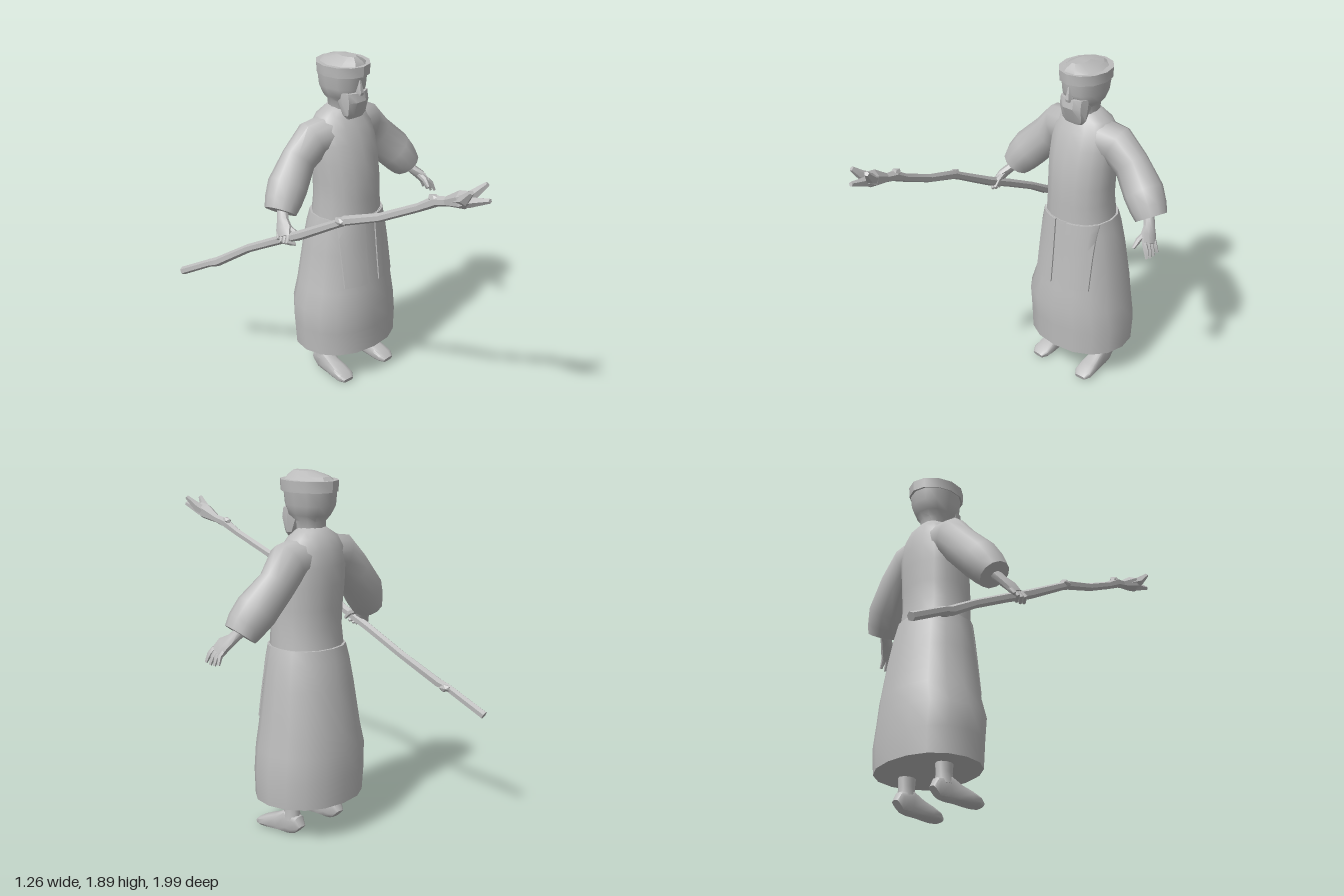
import * as THREE from 'three';
import { toCreasedNormals } from 'three/addons/utils/BufferGeometryUtils.js';

const MID = 0.055; // the figure's own centre line in x
const V = (x, y, z) => new THREE.Vector3(x, y, z);

// Skin a list of closed rings and cap both ends
function skin(rings, crease = 0.8) {
  const n = rings[0].length, pos = [], idx = [];
  rings.forEach(r => r.forEach(p => pos.push(p.x, p.y, p.z)));
  for (let i = 0; i < rings.length - 1; i++) {
    for (let j = 0; j < n; j++) {
      const k = (j + 1) % n, a = i * n + j, b = i * n + k;
      idx.push(a, a + n, b + n, a, b + n, b);
    }
  }
  const cap = (r, start, flip) => {
    const c = r.reduce((s, p) => s.add(p), V(0, 0, 0)).divideScalar(n);
    const ci = pos.length / 3;
    pos.push(c.x, c.y, c.z);
    for (let j = 0; j < n; j++) {
      const a = start + j, b = start + (j + 1) % n;
      idx.push(ci, ...(flip ? [b, a] : [a, b]));
    }
  };
  cap(rings[0], 0, false);
  cap(rings[rings.length - 1], (rings.length - 1) * n, true);
  const g = new THREE.BufferGeometry();
  g.setAttribute('position', new THREE.Float32BufferAttribute(pos, 3));
  g.setIndex(idx);
  return toCreasedNormals(g, crease);
}

const pw = (c, e) => Math.sign(c) * Math.abs(c) ** e;

// Level sections, bottom to top: [y, xMin, xMax, zBack, zFront]
function stack(sections, n = 16, e = 0.92, crease) {
  return skin(sections.map(([y, x0, x1, z0, z1]) => Array.from({ length: n }, (_, j) => {
    const a = j / n * Math.PI * 2;
    return V((x0 + x1) / 2 + (x1 - x0) / 2 * pw(Math.cos(a), e), y,
      (z0 + z1) / 2 + (z1 - z0) / 2 * pw(Math.sin(a), e));
  })), crease);
}

// Sections across a path: [x, y, z, radius along side, other radius]
function limb(path, side, n = 10, e = 1, crease) {
  const pts = path.map(p => V(p[0], p[1], p[2]));
  return skin(path.map((p, i) => {
    const t = pts[Math.min(i + 1, pts.length - 1)].clone().sub(pts[Math.max(i - 1, 0)]).normalize();
    const u = side.clone().addScaledVector(t, -side.dot(t)).normalize();
    const v = u.clone().cross(t);
    return Array.from({ length: n }, (_, j) => {
      const a = (j + 0.5) / n * Math.PI * 2;
      return pts[i].clone().addScaledVector(u, p[3] * pw(Math.cos(a), e))
        .addScaledVector(v, (p[4] ?? p[3]) * pw(Math.sin(a), e));
    });
  }), crease);
}

const SKIRT = [
  [0.19, -0.245, 0.36, -0.6, -0.105],
  [0.33, -0.252, 0.367, -0.607, -0.1],
  [0.46, -0.257, 0.35, -0.6, -0.095],
  [0.57, -0.222, 0.334, -0.59, -0.11],
  [0.8, -0.188, 0.304, -0.555, -0.132],
  [0.93, -0.165, 0.28, -0.532, -0.142],
  [1.0, -0.148, 0.262, -0.515, -0.148],
];

// Front surface of the skirt at a given x and y
function skirtFront(x, y) {
  let i = 0;
  while (i < SKIRT.length - 2 && SKIRT[i + 1][0] < y) i++;
  const f = (y - SKIRT[i][0]) / (SKIRT[i + 1][0] - SKIRT[i][0]);
  const [, x0, x1, z0, z1] = SKIRT[i].map((s, k) => s + (SKIRT[i + 1][k] - s) * f);
  const u = Math.min(1, Math.abs((x - (x0 + x1) / 2) / ((x1 - x0) / 2)));
  return (z0 + z1) / 2 + (z1 - z0) / 2 * (1 - u ** 2.17) ** (1 / 2.17);
}

export function createModel() {
  const model = new THREE.Group();
  const clay = new THREE.MeshStandardMaterial({ color: 0xbcbcbc });
  clay.name = 'grey clay';
  const add = (name, geo) => {
    const m = new THREE.Mesh(geo, clay);
    m.name = name;
    model.add(m);
    return m;
  };

  // Robe
  add('skirt', stack(SKIRT));
  add('torso', stack([
    [0.97, -0.142, 0.255, -0.505, -0.152],
    [1.1, -0.132, 0.245, -0.49, -0.153],
    [1.2, -0.132, 0.246, -0.495, -0.155],
    [1.32, -0.14, 0.25, -0.5, -0.17],
    [1.42, -0.14, 0.25, -0.5, -0.195],
    [1.5, -0.13, 0.24, -0.488, -0.225],
    [1.56, -0.09, 0.2, -0.465, -0.26],
    [1.59, -0.04, 0.15, -0.44, -0.28],
    [1.61, -0.01, 0.12, -0.42, -0.3],
  ]));

  // Two hanging panels that follow the front of the skirt
  for (const [name, x0, x1] of [['rightPanel', -0.12, 0.025], ['leftPanel', 0.1, 0.248]]) {
    const g = new THREE.BoxGeometry(x1 - x0, 0.39, 0.009, 6, 8, 1);
    g.translate((x0 + x1) / 2, 0.805, 0.004);
    const p = g.attributes.position;
    for (let i = 0; i < p.count; i++) p.setZ(i, p.getZ(i) + skirtFront(p.getX(i), p.getY(i)));
    add(name, toCreasedNormals(g, 0.8));
  }

  // Head, beard, nose and cap
  add('head', stack([
    [1.57, -0.015, 0.125, -0.42, -0.28],
    [1.64, -0.02, 0.13, -0.425, -0.27],
    [1.67, -0.045, 0.155, -0.45, -0.225],
    [1.72, -0.06, 0.17, -0.478, -0.207],
    [1.81, -0.072, 0.185, -0.483, -0.2],
  ], 12));
  add('beard', stack([
    [1.553, 0, 0.11, -0.262, -0.232],
    [1.575, -0.02, 0.13, -0.285, -0.22],
    [1.65, -0.028, 0.138, -0.33, -0.19],
    [1.7, -0.028, 0.138, -0.33, -0.2],
  ], 10, 0.8, 0.5));
  add('nose', stack([
    [1.685, 0.035, 0.075, -0.24, -0.188],
    [1.7, 0.033, 0.077, -0.24, -0.183],
    [1.765, 0.047, 0.063, -0.23, -0.198],
  ], 6, 1, 0.4));
  add('capBand', stack([
    [1.788, -0.075, 0.192, -0.495, -0.18],
    [1.845, -0.078, 0.195, -0.497, -0.178],
  ], 12, 1, 0.6));
  add('capCrown', stack([
    [1.835, -0.068, 0.182, -0.485, -0.19],
    [1.862, -0.03, 0.14, -0.455, -0.205],
    [1.886, 0.02, 0.09, -0.37, -0.235],
  ], 10, 1, 0.4));

  // Arms, hands, legs and feet, mirrored about the centre line
  for (const s of [1, -1]) {
    const name = part => (s > 0 ? 'left' : 'right') + part;
    const m = path => path.map(([x, ...rest]) => [MID + s * (x - MID), ...rest]);
    const Z = V(0, 0, 1), X = V(1, 0, 0);
    add(name('Sleeve'), limb(m([
      [0.09, 1.47, -0.35, 0.12, 0.1],
      [0.25, 1.44, -0.37, 0.098, 0.115],
      [0.34, 1.35, -0.385, 0.085, 0.105],
      [0.45, 1.235, -0.355, 0.108, 0.11],
      [0.5, 1.17, -0.335, 0.1, 0.1],
      [0.53, 1.125, -0.325, 0.088, 0.085],
    ]), Z, 12, 1, 0.9));
    add(name('Palm'), limb(m([
      [0.515, 1.145, -0.325, 0.03, 0.03],
      [0.55, 1.095, -0.285, 0.034, 0.026],
      [0.573, 1.065, -0.25, 0.05, 0.025],
      [0.592, 1.03, -0.23, 0.046, 0.02],
    ]), Z, 8));
    // The right hand closes around the staff
    const grip = s < 0;
    for (let f = 0; f < 4; f++) {
      const o = (f - 1.5) * 0.025, drop = Math.abs(f - 1.5) * 0.008;
      add(name('Finger'), limb(m([
        [0.585, 1.045, -0.237 + o, 0.014],
        [0.606, 1.005 + drop, -0.225 + o, 0.014],
        grip ? [0.57, 0.99 + drop, -0.2 + o, 0.009] : [0.622, 0.962 + drop, -0.222 + o * 1.2, 0.008],
      ]), Z, 6));
    }
    add(name('Thumb'), limb(m([
      [0.56, 1.08, -0.25, 0.018],
      [0.553, 1.055, -0.19, 0.016],
      [0.548, 1.02, -0.155, 0.009],
    ]), X, 6));
    add(name('Leg'), limb(m([
      [0.208, 0.08, -0.37, 0.042, 0.05],
      [0.206, 0.14, -0.372, 0.036, 0.046],
      [0.205, 0.25, -0.37, 0.042, 0.052],
    ]), X, 10));
    // Foot sections: z, height, half width
    const foot = [[-0.425, 0.07, 0.026], [-0.405, 0.11, 0.038], [-0.35, 0.13, 0.042],
      [-0.29, 0.095, 0.044], [-0.23, 0.072, 0.052], [-0.18, 0.05, 0.052], [-0.15, 0.028, 0.034]];
    add(name('Foot'), limb(m(foot.map(([z, h, w]) =>
      [0.206 + (z + 0.37) * 0.05, h / 2, z, w, h / 2])), X, 12, 0.6, 0.7));
  }

  // Crooked staff, with the side direction across its length
  const X = V(1, 0, 0);
  add('staff', limb([
    [-0.61, 0.6, -0.985, 0.023],
    [-0.575, 0.715, -0.77, 0.022],
    [-0.558, 0.735, -0.72, 0.026],
    [-0.49, 0.865, -0.52, 0.023],
    [-0.472, 0.98, -0.3, 0.024],
    [-0.455, 1.07, -0.12, 0.026],
    [-0.438, 1.21, 0.13, 0.022],
    [-0.425, 1.24, 0.18, 0.026],
    [-0.39, 1.315, 0.39, 0.023],
    [-0.34, 1.42, 0.6, 0.022],
    [-0.318, 1.475, 0.69, 0.028],
    [-0.31, 1.49, 0.75, 0.024],
    [-0.305, 1.525, 0.84, 0.046],
    [-0.3, 1.545, 0.885, 0.035],
  ], X, 6, 1, 0.3));
  // Prongs at the staff's head
  for (const [x, y, z] of [[-0.235, 1.61, 0.93], [-0.345, 1.6, 0.93], [-0.285, 1.56, 0.99]]) {
    add('staffProng', limb([
      [-0.308, 1.5, 0.78, 0.024],
      [(x - 0.315) / 2, (y + 1.485) / 2, 0.875, 0.028],
      [x, y, z, 0.012],
    ], X, 5, 1, 0.3));
  }
  // Knots along the shaft
  for (const [x, y, z] of [[-0.56, 0.715, -0.76], [-0.44, 1.235, 0.16], [-0.32, 1.485, 0.68]]) {
    const knot = new THREE.IcosahedronGeometry(0.03, 0);
    knot.scale(0.8, 0.8, 1.3);
    knot.translate(x, y, z);
    add('staffKnot', knot);
  }
  return model;
}
